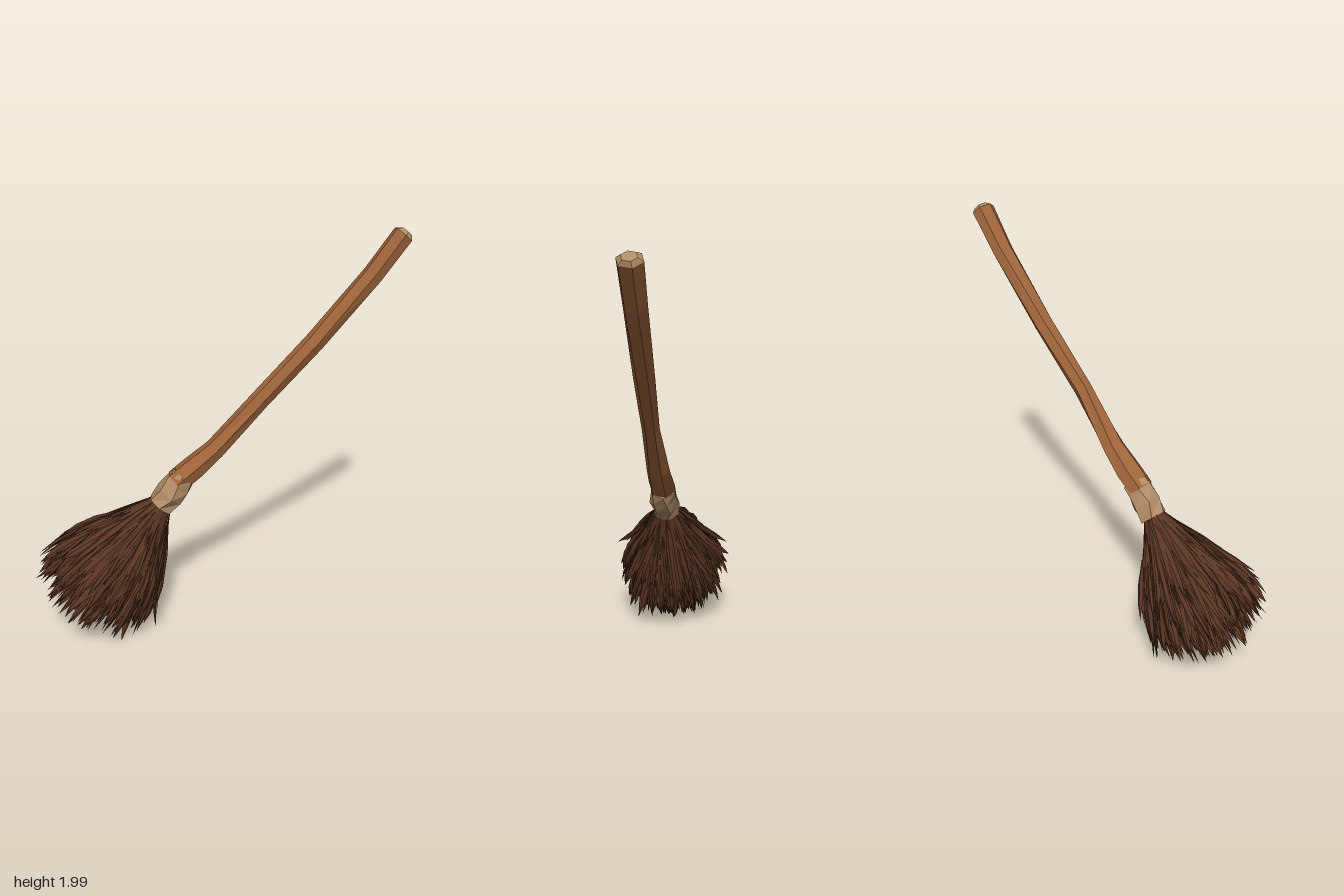
import * as THREE from 'three';
import { mergeGeometries } from 'three/addons/utils/BufferGeometryUtils.js';

const V = (x, y, z = 0) => new THREE.Vector3(x, y, z);

// Small seeded random number generator
function seeded(seed) {
  return () => {
    seed = (seed * 1664525 + 1013904223) % 4294967296;
    return seed / 4294967296;
  };
}

// Polygon ring around c, spanned by u and v (u x v points along the loft)
function ring(c, u, v, ru, rv, sides, turn = 0, wobble = () => 1) {
  return Array.from({ length: sides }, (_, i) => {
    const a = turn + (i / sides) * Math.PI * 2;
    const w = wobble();
    return c.clone().addScaledVector(u, Math.cos(a) * ru * w).addScaledVector(v, Math.sin(a) * rv * w);
  });
}

// Flat-faceted skin through a list of rings
function loft(rings) {
  const pos = [];
  const tri = (...pts) => pts.forEach(p => pos.push(p.x, p.y, p.z));
  for (let i = 0; i < rings.length - 1; i++) {
    const a = rings[i], b = rings[i + 1], n = a.length;
    for (let j = 0; j < n; j++) {
      const k = (j + 1) % n;
      if (a[j].distanceTo(a[k]) > 1e-6) tri(a[j], a[k], b[k]);
      if (b[j].distanceTo(b[k]) > 1e-6) tri(a[j], b[k], b[j]);
    }
  }
  const g = new THREE.BufferGeometry();
  g.setAttribute('position', new THREE.Float32BufferAttribute(pos, 3));
  g.computeVertexNormals();
  return g;
}

const point = (p, n) => Array.from({ length: n }, () => p.clone());

export function createModel() {
  const model = new THREE.Group();
  model.name = 'broom';
  const material = (name, color) => {
    const m = new THREE.MeshStandardMaterial({ color, flatShading: true });
    m.name = name;
    return m;
  };
  const wood = material('handle wood', 0xa0653a);
  const pale = material('pale wood', 0xb28c68);
  const straw = material('dark twigs', 0x5a3523);
  const add = (name, geometry, mat) => {
    const mesh = new THREE.Mesh(geometry, mat);
    mesh.name = name;
    model.add(mesh);
  };
  const Z = V(0, 0, 1);

  // Crooked, slightly twisted handle: x, y, z, in-plane radius, z radius, twist
  const along = V(0.67, 0.74).normalize();
  const across = V(-along.y, along.x);
  const handleRings = [
    [-0.19, 0.80, 0.00, 0.060, 0.068, 0.3],
    [-0.11, 0.862, 0.00, 0.060, 0.070, 0.3],
    [0.00, 0.955, 0.004, 0.050, 0.060, 0.35],
    [0.22, 1.195, 0.012, 0.049, 0.042, 0.6],
    [0.49, 1.468, 0.005, 0.049, 0.049, 0.5],
    [0.77, 1.782, 0.00, 0.050, 0.055, 0.3],
    [0.908, 1.965, 0.00, 0.051, 0.060, 0.25],
  ].map(([x, y, z, ru, rz, t]) => ring(V(x, y, z), across, Z, ru, rz, 6, t));
  add('handle', loft(handleRings), wood);

  // Pale cut end of the handle
  const cut = handleRings[handleRings.length - 1];
  const bevel = ring(V(0.925, 1.978), across, Z, 0.032, 0.036, 6, 0.25);
  add('handleEnd', loft([cut, bevel, point(V(0.928, 1.98), 6)]), pale);

  // Lumpy binding where the twigs meet the handle
  const rough = seeded(11);
  const wobble = () => 0.92 + rough() * 0.16;
  const bandRings = [
    [-0.278, 0.674, 0.068, 0.072, 0.2],
    [-0.230, 0.730, 0.080, 0.076, 0.5],
    [-0.190, 0.780, 0.074, 0.070, 0.3],
    [-0.155, 0.825, 0.064, 0.068, 0.1],
  ].map(([x, y, ru, rz, t]) => ring(V(x, y), across, Z, ru, rz, 6, t, wobble));
  add('binding', loft([point(V(-0.26, 0.69), 6), ...bandRings, point(V(-0.165, 0.815), 6)]), pale);

  // Bushy brush: envelope radius grows along the brush axis
  const neck = V(-0.26, 0.70);
  const down = V(-0.632, -0.775).normalize();
  const side = V(-down.y, down.x);
  const radius = s => 0.05 + 0.28 * Math.sin(Math.min(s / 0.62, 1) * Math.PI / 2) ** 1.15;
  const place = (s, f, phi) => {
    const r = f * radius(s);
    return neck.clone().addScaledVector(down, s)
      .addScaledVector(side, Math.cos(phi) * r)
      .addScaledVector(Z, Math.sin(phi) * r * 0.9);
  };

  // Inner mass that closes gaps between the twigs
  const core = [[0, 0.9], [0.12, 0.85], [0.26, 0.8], [0.4, 0.75], [0.52, 0.6], [0.62, 0.34]]
    .map(([s, f]) => ring(neck.clone().addScaledVector(down, s), side, Z,
      radius(s) * f, radius(s) * f * 0.9, 14));
  add('brushCore', loft([...core, point(place(0.66, 0, 0), 14)]), straw);

  // Pointed, ragged twigs with a flat diamond section
  const rnd = seeded(7);
  const twigs = [];
  const count = 520;
  for (let i = 0; i < count; i++) {
    const phi = i * 2.39996;
    const outer = i % 5 < 3;
    const f = outer ? 0.78 + rnd() * 0.24 : Math.sqrt(rnd()) * 0.9;
    const reach = 0.79 - 0.2 * f * f;
    const tip = reach * (outer ? 0.62 + rnd() * 0.42 : 0.9 + rnd() * 0.14);
    const start = Math.max(0, tip - 0.2 - rnd() * 0.26);
    const flare = rnd() < 0.12 ? 0.12 + rnd() * 0.16 : rnd() * 0.1;
    const drift = (rnd() - 0.5) * 0.4;
    const at = t => place(start + (tip - start) * t, f * (0.94 + flare * t * t), phi + drift * t);
    const [p0, p1, p2, p3] = [0, 0.4, 0.75, 1].map(at);
    p3.y = Math.max(p3.y, 0.002 + rnd() * 0.05);
    const dir = p3.clone().sub(p0).normalize();
    const radial = side.clone().multiplyScalar(Math.cos(phi)).addScaledVector(Z, Math.sin(phi));
    const u = dir.clone().cross(radial).normalize().applyAxisAngle(dir, (rnd() - 0.5) * 1.8);
    const v = dir.clone().cross(u);
    const w = 0.012 + rnd() * 0.012;
    twigs.push(loft([
      point(p0, 4),
      ring(p1, u, v, w, w * 0.4, 4),
      ring(p2, u, v, w * 0.85, w * 0.35, 4),
      point(p3, 4),
    ]));
  }
  add('brushTwigs', mergeGeometries(twigs), straw);

  return model;
}
